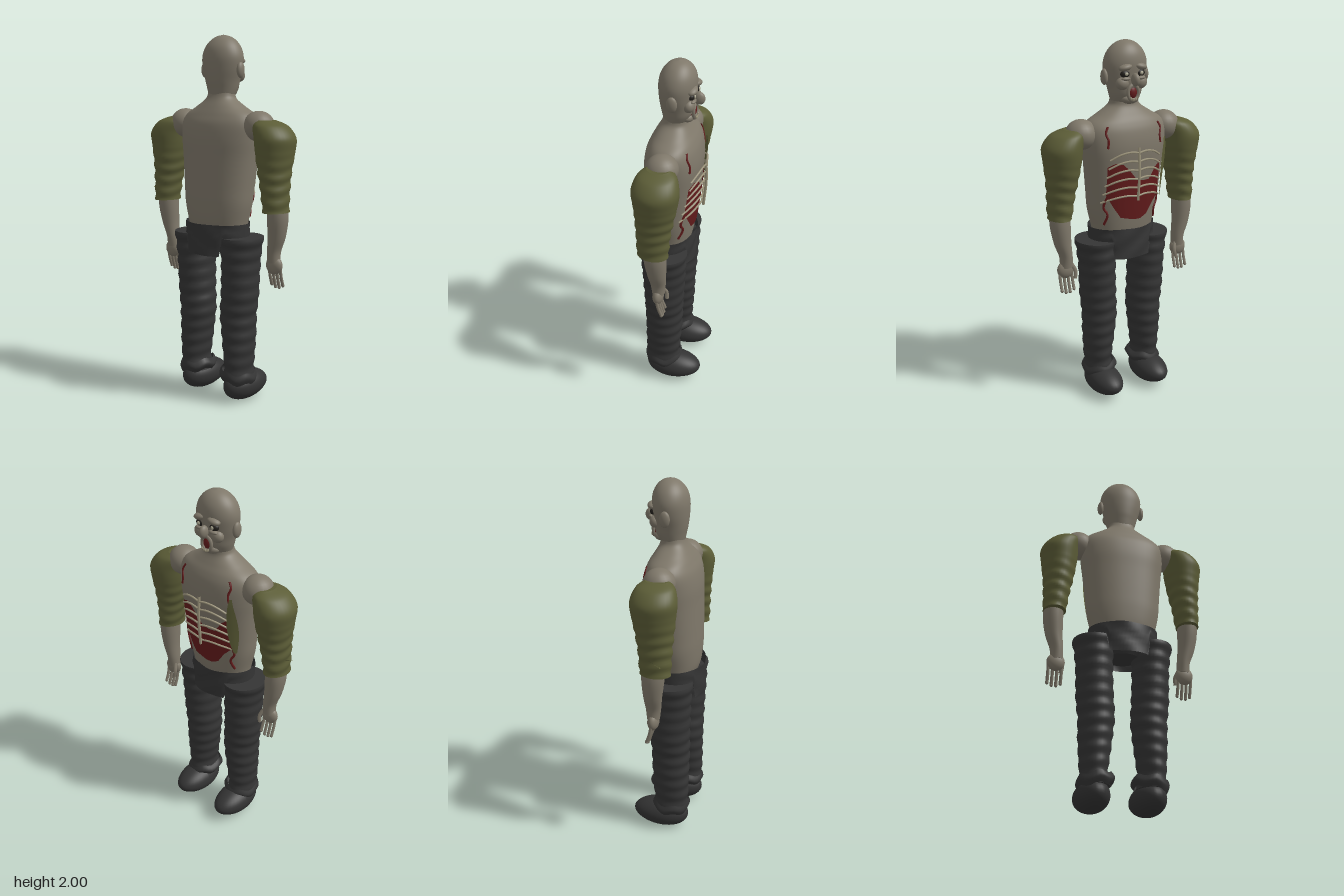
import * as THREE from 'three';

const mat = (name, color, side = THREE.FrontSide) => {
  const m = new THREE.MeshStandardMaterial({ color, side });
  m.name = name;
  return m;
};

// Rows across u by v; fn(u, v) gives a point. Wrapped grids share the seam.
function grid(nu, nv, fn, wrap = false, caps = false) {
  const pos = [], idx = [], cols = wrap ? nu : nu + 1;
  for (let j = 0; j <= nv; j++)
    for (let i = 0; i < cols; i++) pos.push(...fn(i / nu, j / nv));
  for (let j = 0; j < nv; j++)
    for (let i = 0; i < nu; i++) {
      const k = (i + 1) % cols, a = j * cols, c = a + cols;
      idx.push(a + i, c + i, a + k, a + k, c + i, c + k);
    }
  if (caps) for (const v of [0, 1]) {
    const start = pos.length / 3, mid = [0, 0, 0];
    for (let i = 0; i < nu; i++) {
      const p = fn(i / nu, v);
      pos.push(...p);
      p.forEach((n, k) => { mid[k] += n / nu; });
    }
    pos.push(...mid);
    for (let i = 0; i < nu; i++) {
      const a = start + i, b = start + (i + 1) % nu;
      idx.push(start + nu, v ? b : a, v ? a : b);
    }
  }
  const g = new THREE.BufferGeometry();
  g.setAttribute('position', new THREE.Float32BufferAttribute(pos, 3));
  g.setIndex(idx);
  g.computeVertexNormals();
  return g;
}

// Smooth value along cross-section rows [y, cx, cz, rx, rz]
function sample(rows, t) {
  const n = rows.length - 1, s = Math.min(Math.floor(t * n), n - 1), f = t * n - s;
  const r = k => rows[Math.max(0, Math.min(n, k))];
  return rows[0].map((_, c) => {
    const a = r(s - 1)[c], b = r(s)[c], d = r(s + 1)[c], e = r(s + 2)[c];
    return b + 0.5 * f * (d - a + f * (2 * a - 5 * b + 4 * d - e + f * (3 * (b - d) + e - a)));
  });
}

// Stacked superellipse sections, listed bottom to top
function loft(rows, { n = 32, steps = 6, power = 1, bump = () => 0, tilt = () => 0, caps = true } = {}) {
  const pw = q => Math.sign(q) * Math.abs(q) ** power;
  return grid(n, (rows.length - 1) * steps, (u, v) => {
    const a = u * Math.PI * 2, [y, cx, cz, rx, rz] = sample(rows, v), k = 1 + bump(y, a);
    return [cx + rx * k * pw(Math.cos(a)), y + tilt(a), cz + rz * k * pw(Math.sin(a))];
  }, true, caps);
}

export function createModel() {
  const root = new THREE.Group();
  const skin = mat('skin', 0x7f786a), cloth = mat('oliveCloth', 0x5c5d37, THREE.DoubleSide);
  const dark = mat('darkTrousers', 0x353535, THREE.DoubleSide), boot = mat('boots', 0x333333);
  const flesh = mat('rawFlesh', 0x641c1c, THREE.DoubleSide), bone = mat('bone', 0x9d957c);
  const socket = mat('eyeSocket', 0x24211d), eyeWhite = mat('eye', 0xa8a48e);

  const add = (name, geo, m, parent = root) => {
    const mesh = new THREE.Mesh(geo, m);
    mesh.name = name;
    parent.add(mesh);
    return mesh;
  };
  const ball = (name, m, p, r, parent) => {
    const b = add(name, new THREE.SphereGeometry(1, 24, 16), m, parent);
    b.position.set(...p);
    b.scale.set(...r);
    return b;
  };
  const tube = (name, m, pts, r, parent) => add(name, new THREE.TubeGeometry(
    new THREE.CatmullRomCurve3(pts.map(p => new THREE.Vector3(...p))), 12, r, 6), m, parent);
  const group = name => {
    const g = new THREE.Group();
    g.name = name;
    root.add(g);
    return g;
  };

  // Torso: y, half width, front z, back z
  const torsoRows = [
    [0.93, 0.165, -0.08, 0.13], [1.0, 0.177, -0.095, 0.152], [1.1, 0.2, -0.108, 0.16], [1.2, 0.21, -0.12, 0.16],
    [1.35, 0.225, -0.135, 0.157], [1.45, 0.237, -0.14, 0.155], [1.53, 0.24, -0.13, 0.142], [1.58, 0.215, -0.112, 0.12],
    [1.62, 0.15, -0.088, 0.098], [1.66, 0.09, -0.066, 0.075], [1.69, 0.076, -0.062, 0.064], [1.72, 0.078, -0.06, 0.06],
  ].map(([y, rx, f, b]) => [y, 0, (f + b) / 2, rx, (b - f) / 2]);
  add('torso', loft(torsoRows, { n: 48, power: 0.88 }), skin);

  // Depth of the chest surface at x, y
  const chestZ = (x, y, out = 0) => {
    let i = 0;
    while (i < torsoRows.length - 2 && torsoRows[i + 1][0] < y) i++;
    const p = torsoRows[i], q = torsoRows[i + 1], f = (y - p[0]) / (q[0] - p[0]);
    const at = c => p[c] + (q[c] - p[c]) * f;
    const k = Math.min(1, Math.abs(x) / at(3));
    return at(2) - at(4) * (1 - k ** (2 / 0.88)) ** 0.44 - out;
  };

  // Open belly wound, with a ragged outline
  const edge = (table, x) => {
    const t = (x + 0.16) / 0.32 * (table.length - 1), i = Math.min(Math.floor(t), table.length - 2);
    return table[i] + (table[i + 1] - table[i]) * (t - i);
  };
  const upper = [1.36, 1.33, 1.27, 1.27, 1.28, 1.33, 1.37, 1.38, 1.36];
  const lower = [1.17, 1.13, 1.07, 1.05, 1.05, 1.06, 1.07, 1.13, 1.2];
  add('bellyWound', grid(32, 14, (u, v) => {
    const x = -0.16 + u * 0.32, lo = edge(lower, x), y = lo + (edge(upper, x) - lo) * v;
    return [x, y, chestZ(x, y, 0.006)];
  }), flesh);

  // Breastbone and ribs
  const ribs = group('ribCage');
  tube('breastbone', bone, [[0, 1.46, -0.158], [0, 1.33, -0.163], [0, 1.17, -0.15]], 0.008, ribs);
  for (const s of [-1, 1]) {
    for (let i = 0; i < 6; i++) {
      const y = 1.43 - i * 0.048, w = 0.15 + 0.006 * i;
      tube('rib', bone, [0, 0.3, 0.65, 1].map(t => {
        const x = s * w * t, yy = y + 0.012 * Math.sin(t * 3) - 0.035 * t * t;
        return [x, yy, chestZ(x, yy, 0.022 - 0.014 * t)];
      }), 0.0055, ribs);
    }
    // Shoulder cuts and trailing shreds
    const onChest = pts => pts.map(([x, y]) => [s * x, y, chestZ(x, y, 0.003)]);
    tube('shoulderCut', flesh, onChest([[0.15, 1.57], [0.165, 1.54], [0.155, 1.5], [0.16, 1.46]]), 0.006);
    tube('fleshShred', flesh, onChest([[0.15, 1.2], [0.165, 1.13], [0.145, 1.09], [0.155, 1.03]]), 0.007);
  }

  // Torn strip of shirt hanging on one side of the chest
  add('shirtStrip', grid(3, 14, (u, v) => {
    const w = 0.022 * Math.sin(Math.PI * (0.08 + 0.84 * v)), y = 1.15 + 0.34 * v;
    const x = -0.18 + (u - 0.5) * 2 * w;
    return [x, y, chestZ(x, y, 0.025)];
  }), cloth);

  // Head
  const head = group('head');
  add('skull', loft([
    [1.68, 0, 0, 0.074, 0.064], [1.72, 0, -0.008, 0.087, 0.08], [1.76, 0, -0.008, 0.097, 0.088],
    [1.82, 0, -0.008, 0.114, 0.094], [1.88, 0, -0.01, 0.12, 0.097], [1.93, 0, -0.012, 0.105, 0.088],
    [1.967, 0, -0.014, 0.077, 0.066], [1.99, 0, -0.015, 0.042, 0.037], [2.0, 0, -0.015, 0.003, 0.003],
  ], { n: 40 }), skin, head);
  ball('nose', skin, [0, 1.805, -0.118], [0.02, 0.034, 0.03], head);
  ball('chin', skin, [0, 1.7, -0.062], [0.05, 0.028, 0.035], head);
  ball('openMouth', flesh, [0, 1.735, -0.083], [0.028, 0.036, 0.022], head);
  const lips = add('lips', new THREE.TorusGeometry(0.031, 0.009, 8, 24), skin, head);
  lips.position.set(0, 1.735, -0.097);
  lips.scale.y = 1.25;
  for (let i = -2; i <= 2; i++)
    ball('tooth', bone, [i * 0.01, 1.7 + 0.002 * i * i, -0.108], [0.004, 0.008, 0.004], head);
  for (const s of [-1, 1]) {
    ball('ear', skin, [s * 0.122, 1.815, -0.008], [0.017, 0.042, 0.028], head);
    ball('eyeSocket', socket, [s * 0.045, 1.835, -0.088], [0.027, 0.02, 0.02], head);
    ball('eyeball', eyeWhite, [s * 0.045, 1.835, -0.1], [0.012, 0.011, 0.012], head);
    ball('brow', skin, [s * 0.045, 1.868, -0.092], [0.038, 0.018, 0.028], head).rotation.z = s * -0.2;
    ball('cheek', skin, [s * 0.055, 1.785, -0.078], [0.036, 0.034, 0.03], head);
    ball('eyeBag', skin, [s * 0.045, 1.81, -0.098], [0.026, 0.01, 0.015], head);
  }

  for (const s of [-1, 1]) {
    const side = s > 0 ? 'left' : 'right';
    const mirror = rows => rows.map(([y, x, ...rest]) => [y, s * x, ...rest]);

    // Arm with a puffed, creased sleeve
    const arm = group(side + 'Arm');
    ball('shoulder', skin, [s * 0.255, 1.525, 0.005], [0.085, 0.08, 0.085], arm);
    add('sleeve', loft(mirror([
      [1.085, 0.383, 0.022, 0.062, 0.082], [1.2, 0.375, 0.02, 0.072, 0.088], [1.3, 0.367, 0.015, 0.085, 0.1],
      [1.4, 0.365, 0.01, 0.1, 0.115], [1.47, 0.363, 0.01, 0.105, 0.121], [1.53, 0.333, 0.01, 0.088, 0.1],
      [1.558, 0.305, 0.01, 0.045, 0.06],
    ]), {
      steps: 10,
      bump: (y, a) => 0.045 * Math.max(0, Math.min(1, (1.4 - y) / 0.15)) * Math.sin(y * 95 + Math.sin(a * 2)),
    }), cloth, arm);
    add('forearm', loft(mirror([
      [0.81, 0.358, 0.002, 0.036, 0.034], [0.87, 0.36, 0.003, 0.036, 0.041], [0.95, 0.377, 0.005, 0.047, 0.05],
      [1.05, 0.386, 0.01, 0.055, 0.06], [1.15, 0.385, 0.015, 0.052, 0.06],
    ]), { n: 24 }), skin, arm);
    ball('palm', skin, [s * 0.362, 0.795, 0.003], [0.05, 0.05, 0.03], arm);
    for (let i = 0; i < 4; i++) {
      const x = 0.328 + i * 0.024, tip = 0.685 - (i % 3 ? 0.012 : 0);
      tube('finger', skin, [[s * x, 0.78, 0.002], [s * x, 0.73, -0.008], [s * x, tip, -0.024]], 0.009, arm);
      ball('fingertip', skin, [s * x, tip, -0.024], [0.009, 0.01, 0.009], arm);
    }
    tube('thumb', skin, [[s * 0.335, 0.83, -0.01], [s * 0.32, 0.79, -0.03], [s * 0.325, 0.75, -0.036]], 0.011, arm);

    // Creased trouser leg, ragged cuff and boot
    const leg = group(side + 'Leg');
    add('trouserLeg', loft(mirror([
      [0.13, 0.15, 0.035, 0.08, 0.095], [0.2, 0.155, 0.037, 0.072, 0.096], [0.3, 0.152, 0.035, 0.082, 0.1],
      [0.4, 0.148, 0.032, 0.091, 0.104], [0.5, 0.144, 0.032, 0.097, 0.107], [0.6, 0.152, 0.03, 0.1, 0.11],
      [0.8, 0.158, 0.028, 0.1, 0.12], [0.93, 0.162, 0.028, 0.115, 0.126],
    ]), { steps: 12, bump: (y, a) => 0.032 * Math.sin(y * 84 + 0.8 * Math.sin(a + s)) }), dark, leg);
    add('cuff', loft(mirror([[0.125, 0.148, 0.035, 0.085, 0.096], [0.155, 0.145, 0.035, 0.1, 0.108], [0.185, 0.15, 0.037, 0.084, 0.1]]),
      { caps: false, tilt: a => 0.008 * Math.sin(a * 5) - s * 0.012 * Math.cos(a) }), dark, leg);
    const foot = new THREE.SphereGeometry(1, 32, 24), p = foot.attributes.position;
    for (let i = 0; i < p.count; i++) {
      const z = p.getZ(i) * 0.16 - 0.025;
      p.setXYZ(i, p.getX(i) * 0.092 + s * 0.15, Math.max(0, 0.087 + p.getY(i) * (0.083 + z * 0.07)), z);
    }
    foot.computeVertexNormals();
    add('boot', foot, boot, leg);
  }

  // Torn flap on one sleeve
  add('sleeveFlap', grid(2, 2, (u, v) => [-0.41 - 0.04 * u, 1.15 + 0.035 * v * u, 0.07 - 0.06 * v]), cloth);

  // Hips and loose waistband with front and back flaps
  add('hips', loft([[0.84, 0, 0.03, 0.09, 0.09], [0.9, 0, 0.03, 0.15, 0.115], [0.955, 0, 0.03, 0.165, 0.115]], { n: 32 }), dark);
  add('waistband', grid(64, 6, (u, v) => {
    const a = u * Math.PI * 2, c = Math.cos(a), lo = Math.abs(c) < 0.58 ? 0.83 : 0.92;
    return [0.192 * c, lo + (1.0 - lo) * v, 0.035 + (0.147 + 0.004 * Math.sin(v * 9 + c * 6)) * Math.sin(a)];
  }, true), dark);

  return root;
}
